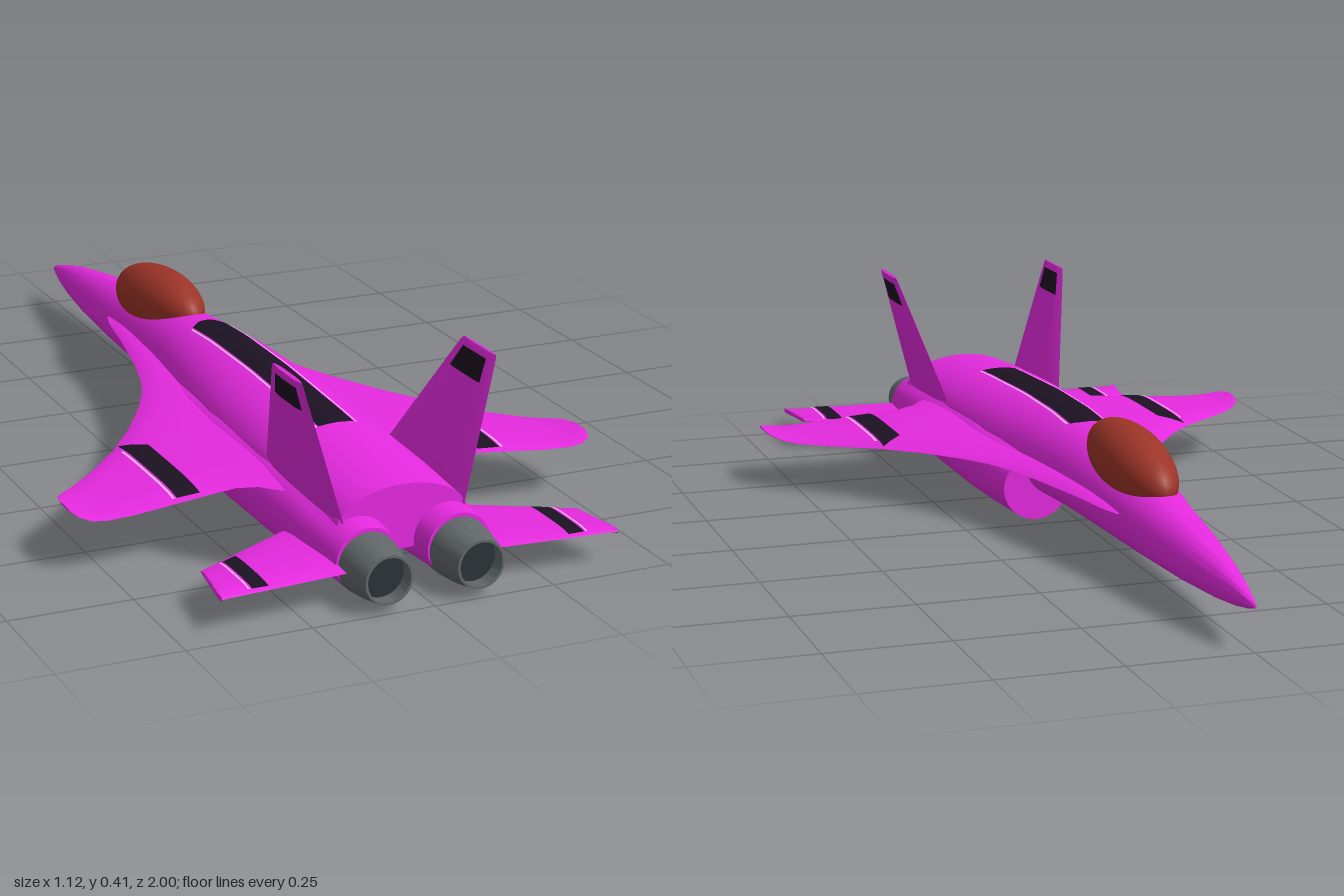
import * as THREE from 'three';
import { toCreasedNormals } from 'three/addons/utils/BufferGeometryUtils.js';

const paint = new THREE.MeshStandardMaterial({ color: 0xe62ae0 });
const dark = new THREE.MeshStandardMaterial({ color: 0x1c1222 });
const pale = new THREE.MeshStandardMaterial({ color: 0xf0b8ee });
const glass = new THREE.MeshStandardMaterial({ color: 0x9c3428 });
const metal = new THREE.MeshStandardMaterial({ color: 0x62686a });
const soot = new THREE.MeshStandardMaterial({ color: 0x2b3236 });

// Skin a list of closed rings, with a flat cap at each end
function loft(rings) {
  const n = rings[0].length, pos = [], idx = [];
  rings.forEach(r => r.forEach(p => pos.push(...p)));
  for (let i = 0; i < rings.length - 1; i++) {
    for (let j = 0; j < n; j++) {
      const a = i * n + j, b = i * n + (j + 1) % n;
      idx.push(a, b, a + n, b, b + n, a + n);
    }
  }
  const last = (rings.length - 1) * n;
  for (let j = 1; j < n - 1; j++) {
    idx.push(0, j + 1, j, last, last + j, last + j + 1);
  }
  const g = new THREE.BufferGeometry();
  g.setAttribute('position', new THREE.Float32BufferAttribute(pos, 3));
  g.setIndex(idx);
  return toCreasedNormals(g, 0.7);
}

// Interpolate a table of stations by its first column
function at(table, v) {
  let i = 0;
  while (i < table.length - 2 && v > table[i + 1][0]) i++;
  const a = table[i], b = table[i + 1];
  const t = THREE.MathUtils.clamp((v - a[0]) / (b[0] - a[0]), 0, 1);
  return a.map((x, k) => x + (b[k] - x) * t);
}

// Body from stations [z, halfWidth, top, bottom, widestY]
function body(stations, cx = 0, sides = 40) {
  return loft(stations.map(([z, w, top, bot, mid]) => Array.from({ length: sides }, (_, j) => {
    const t = j / sides * Math.PI * 2, s = Math.sin(t);
    return [cx + w * Math.cos(t), mid + s * (s > 0 ? top - mid : mid - bot), z];
  })));
}

// Flying surface from stations [x, leadingZ, trailingZ, y, thickness]
const bulge = u => 1 - (2 * u - 1) ** 4;
function panel(stations, steps = 16) {
  return loft(stations.map(([x, z0, z1, y, th]) => {
    const ring = [];
    for (let j = 0; j < steps * 2; j++) {
      const u = j <= steps ? j / steps : 2 - j / steps;
      ring.push([x, y + (j <= steps ? 1 : -1) * th / 2 * bulge(u), z0 + (z1 - z0) * u]);
    }
    return ring;
  }));
}
const panelTop = table => (x, z) => {
  const [, z0, z1, y, th] = at(table, x);
  return y + th / 2 * bulge(THREE.MathUtils.clamp((z - z0) / (z1 - z0), 0, 1));
};

// Painted stripe lying just above a surface
function stripe(surface, x0, x1, front, back, lift = 0.002) {
  const g = new THREE.PlaneGeometry(1, 1, 8, 20), p = g.attributes.position;
  for (let i = 0; i < p.count; i++) {
    const x = x0 + (x1 - x0) * (p.getX(i) + 0.5);
    const z = front(x) + (back - front(x)) * (0.5 - p.getY(i));
    p.setXYZ(i, x, surface(x, z) + lift, z);
  }
  g.computeVertexNormals();
  return g;
}

function mirrored(geo) {
  const g = geo.index ? geo.toNonIndexed() : geo.clone();
  g.scale(-1, 1, 1);
  for (const attr of Object.values(g.attributes)) {
    const n = attr.itemSize, a = attr.array;
    for (let i = 0; i < a.length; i += n * 3) {
      for (let k = 0; k < n; k++) {
        [a[i + n + k], a[i + 2 * n + k]] = [a[i + 2 * n + k], a[i + n + k]];
      }
    }
  }
  return g;
}

const hull = [
  [-1, 0.002, 0.093, 0.087, 0.09], [-0.97, 0.01, 0.105, 0.079, 0.09],
  [-0.92, 0.02, 0.119, 0.07, 0.092], [-0.84, 0.034, 0.138, 0.062, 0.095],
  [-0.7, 0.053, 0.162, 0.056, 0.1], [-0.5, 0.072, 0.188, 0.053, 0.11],
  [-0.3, 0.085, 0.212, 0.053, 0.115], [-0.12, 0.1, 0.231, 0.053, 0.12],
  [0.05, 0.12, 0.238, 0.05, 0.12], [0.25, 0.138, 0.235, 0.05, 0.12],
  [0.5, 0.145, 0.222, 0.05, 0.12], [0.72, 0.145, 0.207, 0.055, 0.12],
  [0.86, 0.138, 0.195, 0.065, 0.12],
];
const nacelle = [
  [0, 0.071, 0.15, 0.014, 0.085], [0.15, 0.079, 0.16, 0.008, 0.085],
  [0.3, 0.083, 0.165, 0.003, 0.085], [0.6, 0.083, 0.163, 0.004, 0.084],
  [0.78, 0.077, 0.153, 0.009, 0.08], [0.91, 0.066, 0.14, 0.014, 0.075],
];
const wing = [
  [0, -0.48, 0.68, 0.137, 0.03], [0.075, -0.46, 0.68, 0.137, 0.03],
  [0.09, -0.41, 0.68, 0.137, 0.029], [0.11, -0.29, 0.68, 0.137, 0.028],
  [0.14, -0.14, 0.68, 0.136, 0.027], [0.165, -0.04, 0.655, 0.135, 0.026],
  [0.19, 0.03, 0.625, 0.134, 0.025], [0.23, 0.11, 0.606, 0.131, 0.024],
  [0.29, 0.205, 0.608, 0.126, 0.022], [0.36, 0.295, 0.612, 0.12, 0.019],
  [0.44, 0.375, 0.616, 0.113, 0.015], [0.5, 0.428, 0.618, 0.111, 0.011],
  [0.53, 0.457, 0.615, 0.114, 0.009], [0.55, 0.485, 0.6, 0.12, 0.007],
  [0.558, 0.52, 0.575, 0.124, 0.004],
];
const tailplane = [
  [0.1, 0.665, 0.938, 0.071, 0.018], [0.395, 0.82, 0.956, 0.069, 0.012],
  [0.411, 0.935, 0.958, 0.069, 0.01],
];
// The fin is drawn flat, span along x, then tilted upright
const fin = [
  [0, 0.515, 0.868, 0, 0.022], [0.285, 0.702, 0.842, 0, 0.012], [0.293, 0.712, 0.84, 0, 0.008],
];
const finStripe = [0.23, 0.278].map(x => {
  const [, z0, z1, y, th] = at(fin, x);
  return [x, z0 + 0.012, z1 - 0.012, y, th + 0.003];
});
const upright = g => g.rotateZ(Math.atan2(0.28, 0.075)).translate(0.125, 0.132, 0);

export function createModel() {
  const root = new THREE.Group();
  const add = (name, geo, mat) => {
    const mesh = new THREE.Mesh(geo, mat);
    mesh.name = name;
    root.add(mesh);
    return mesh;
  };
  const pair = (name, geo, mat) => {
    add(name + 'Left', geo, mat);
    add(name + 'Right', mirrored(geo), mat);
  };

  // Fuselage, canopy and spine stripe
  add('fuselage', body(hull), paint);
  const canopy = add('canopy', new THREE.SphereGeometry(1, 40, 28), glass);
  canopy.scale.set(0.068, 0.075, 0.2);
  canopy.position.set(0, 0.205, -0.333);
  canopy.rotation.x = -0.09;
  const hullTop = (x, z) => {
    const [, w, top, , mid] = at(hull, z);
    return mid + (top - mid) * Math.sqrt(1 - (x / w) ** 2);
  };
  const point = x => -0.075 + Math.max(0, Math.abs(x) - 0.015) * 0.8;
  add('spineStripe', stripe(hullTop, -0.038, 0.038, point, 0.57, 0.003), dark);
  pair('spineStripeEdge', stripe(hullTop, 0.041, 0.045, () => -0.05, 0.57, 0.003), pale);

  // Engines: nacelle, hollow nozzle and dark exhaust
  pair('engineNacelle', body(nacelle, 0.095), paint);
  const nozzleProfile = [[0.062, 0.88], [0.062, 0.91], [0.058, 0.95], [0.049, 1], [0.044, 1], [0.047, 0.96]]
    .map(([r, z]) => new THREE.Vector2(r, z));
  const nozzle = toCreasedNormals(new THREE.LatheGeometry(nozzleProfile, 36), 0.6);
  pair('nozzle', nozzle.rotateX(Math.PI / 2).translate(0.095, 0.07, 0), metal);
  pair('exhaust', new THREE.CircleGeometry(0.049, 36).translate(0.095, 0.07, 0.965), soot);

  // Wings with their root extensions
  pair('wing', panel(wing, 32), paint);
  const wingTop = panelTop(wing);
  pair('wingStripe', stripe(wingTop, 0.3, 0.348, x => 0.335 - (0.348 - x) * -0.9 - 0.045, 0.596), dark);
  pair('wingStripeEdge', stripe(wingTop, 0.352, 0.357, () => 0.33, 0.596), pale);

  // Tailplanes
  pair('tailplane', panel(tailplane), paint);
  const tailTop = panelTop(tailplane);
  pair('tailplaneStripe', stripe(tailTop, 0.312, 0.345, x => 0.79 + (x - 0.312) * 0.5, 0.942), dark);
  pair('tailplaneStripeEdge', stripe(tailTop, 0.349, 0.353, () => 0.81, 0.942), pale);

  // Canted twin fins
  pair('fin', upright(panel(fin)), paint);
  pair('finStripe', upright(panel(finStripe)), dark);
  return root;
}
